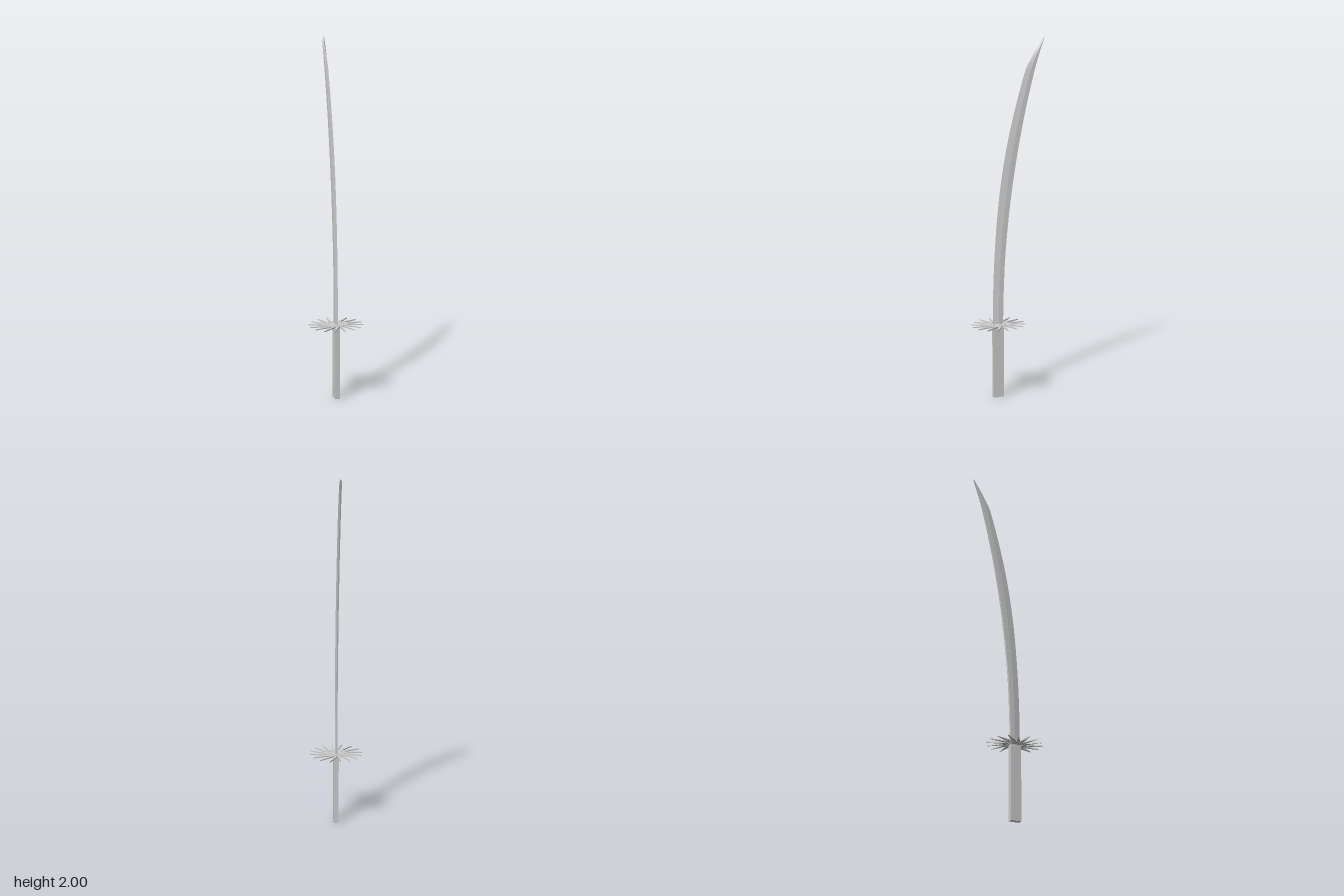
import * as THREE from 'three';
import { toCreasedNormals } from 'three/addons/utils/BufferGeometryUtils.js';

const material = new THREE.MeshStandardMaterial({ color: 0xcccccc });

const CENTER_Z = 0.057; // axis of the guard
const SPIKES = 16;
const STEP = Math.PI * 2 / SPIKES;

function addMesh(parent, name, geometry) {
  const mesh = new THREE.Mesh(geometry, material);
  mesh.name = name;
  parent.add(mesh);
  return mesh;
}

const polar = (r, a) => new THREE.Vector2(r * Math.cos(a), r * Math.sin(a));

// Curved blade: edge and spine are curves in y/z, joined by a six-sided section
function bladeGeometry() {
  const toCurve = (pts) => new THREE.SplineCurve(pts.map(([y, z]) => new THREE.Vector2(y, z)));
  const edge = toCurve([[0.41, 0.089], [0.6, 0.088], [0.8, 0.08], [1.0, 0.066], [1.2, 0.044], [1.4, 0.011],
    [1.6, -0.034], [1.78, -0.084], [1.84, -0.105], [1.88, -0.127], [1.93, -0.156], [2.0, -0.204]]);
  const spine = toCurve([[0.41, 0.031], [0.6, 0.027], [0.8, 0.018], [1.0, 0], [1.2, -0.025], [1.4, -0.057],
    [1.6, -0.096], [1.78, -0.138], [1.84, -0.154], [1.88, -0.165], [1.93, -0.181], [2.0, -0.205]]);
  // across the width: [x, fraction from edge to spine]
  const section = [[0, 0], [0.0067, 0.55], [0.0067, 0.97], [0, 1], [-0.0067, 0.97], [-0.0067, 0.55]];
  const rows = 44, n = section.length;
  const positions = [], index = [];
  for (let i = 0; i <= rows; i++) {
    const e = edge.getPoint(i / rows), s = spine.getPoint(i / rows);
    const thin = Math.min(1, (2 - e.x) / 0.015);
    for (const [x, f] of section) {
      positions.push(x * thin, THREE.MathUtils.lerp(e.x, s.x, f), THREE.MathUtils.lerp(e.y, s.y, f));
    }
  }
  for (let i = 0; i < rows; i++) {
    for (let j = 0; j < n; j++) {
      const a = i * n + j, b = i * n + (j + 1) % n;
      index.push(a, b, b + n, a, b + n, a + n);
    }
  }
  const geometry = new THREE.BufferGeometry();
  geometry.setAttribute('position', new THREE.Float32BufferAttribute(positions, 3));
  geometry.setIndex(index);
  return toCreasedNormals(geometry, 0.15);
}

// Flat plate lying in x/z, centred on y = 0
function plate(shape, thickness) {
  return new THREE.ExtrudeGeometry(shape, { depth: thickness, bevelEnabled: false, curveSegments: 48 })
    .translate(0, 0, -thickness / 2)
    .rotateX(Math.PI / 2);
}

// Disc with a ring of small slanted slots
function guardPlateGeometry() {
  const shape = new THREE.Shape().absarc(0, 0, 0.055, 0, Math.PI * 2, false);
  for (let i = 0; i < SPIKES; i++) {
    const a = i * STEP;
    shape.holes.push(new THREE.Path([
      polar(0.034, a), polar(0.045, a + STEP * 0.9), polar(0.043, a + STEP * 0.2),
    ]));
  }
  return plate(shape, 0.009);
}

// Long triangular spike, rooted in the disc and swept sideways towards its tip
function spikeGeometry() {
  const spike = new THREE.Shape([polar(0.151, 0), polar(0.049, -0.04), polar(0.049, -0.47)]);
  return plate(spike, 0.006);
}

export function createModel() {
  const group = new THREE.Group();
  group.name = 'curvedSword';

  addMesh(group, 'blade', bladeGeometry());

  const handle = addMesh(group, 'handle', new THREE.BoxGeometry(0.027, 0.42, 0.06));
  handle.position.set(0, 0.21, 0.06);

  // Guard: slightly tilted disc with swirling spikes
  const guard = new THREE.Group();
  guard.name = 'guard';
  guard.position.set(-0.001, 0.418, CENTER_Z);
  guard.rotation.set(0.015, 0, 0.015);
  group.add(guard);
  addMesh(guard, 'guardPlate', guardPlateGeometry());

  const spike = spikeGeometry();
  for (let i = 0; i < SPIKES; i++) {
    addMesh(guard, 'guardSpike', spike).rotation.y = 0.066 - i * STEP;
  }
  return group;
}
